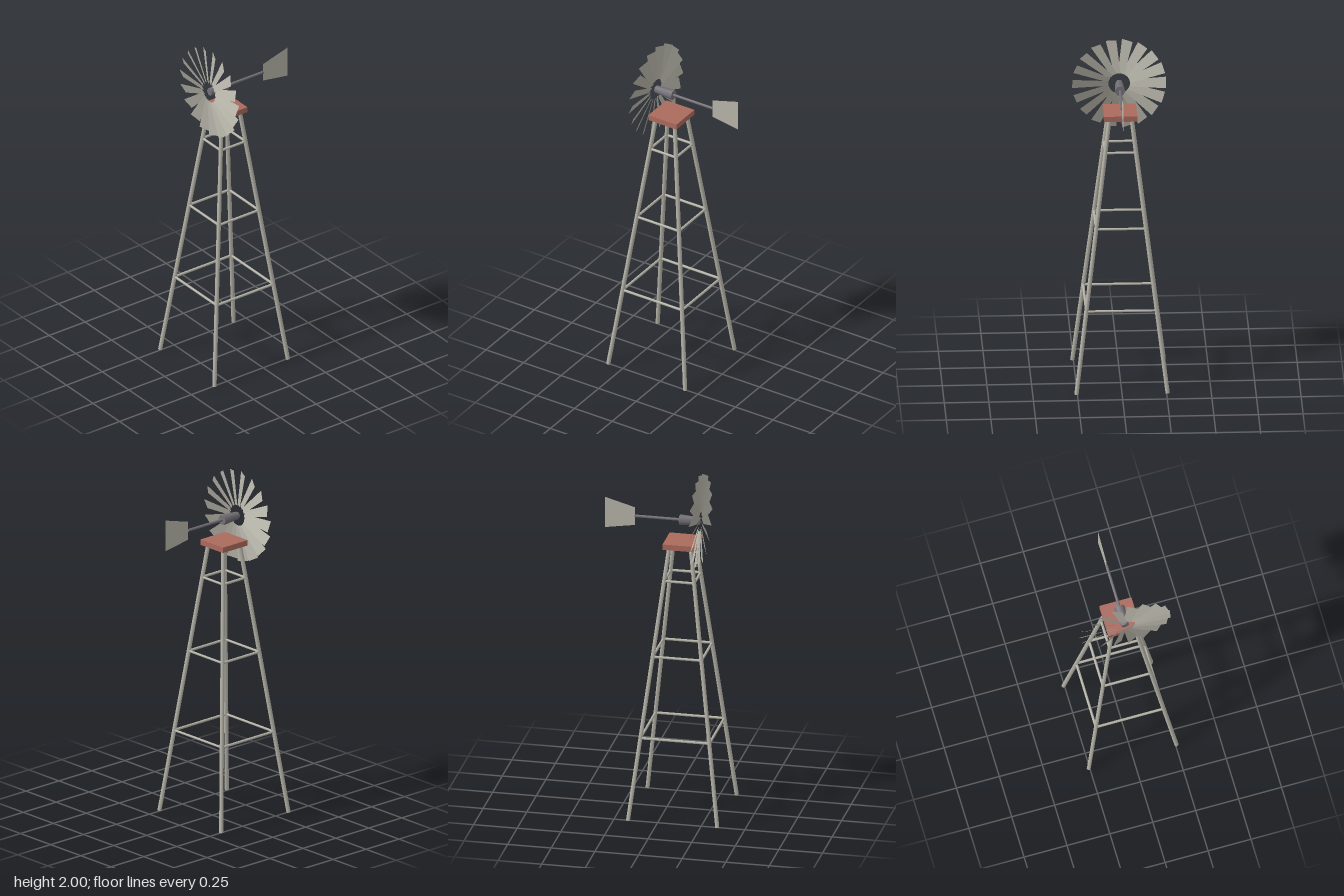
import * as THREE from 'three';

const steel = new THREE.MeshStandardMaterial({ color: 0xb8b6aa, side: THREE.DoubleSide });
steel.name = 'pale steel';
const darkMetal = new THREE.MeshStandardMaterial({ color: 0x747078 });
darkMetal.name = 'dark metal';
const redPaint = new THREE.MeshStandardMaterial({ color: 0xab6b5e });
redPaint.name = 'red paint';

const UP = new THREE.Vector3(0, 1, 0);
const TOWER_Z = 0.0875, TOP_Y = 1.59, AXLE_Y = 1.737, WHEEL_Z = 0.19;

function add(parent, name, geometry, material) {
  const mesh = new THREE.Mesh(geometry, material);
  mesh.name = name;
  parent.add(mesh);
  return mesh;
}

// Six-sided rod from a to b, optionally tapered
function rod(parent, name, a, b, ra, rb, material) {
  const dir = b.clone().sub(a);
  const geometry = new THREE.CylinderGeometry(rb, ra, dir.length(), 6);
  geometry.rotateY(Math.PI / 6);
  const mesh = add(parent, name, geometry, material);
  mesh.position.copy(a).add(b).multiplyScalar(0.5);
  mesh.quaternion.setFromUnitVectors(UP, dir.normalize());
  return mesh;
}

// Flat four-cornered plate in the xy plane
function plate(points) {
  return new THREE.ShapeGeometry(new THREE.Shape(points.map(p => new THREE.Vector2(...p))));
}

export function createModel() {
  const model = new THREE.Group();
  model.name = 'windpump';

  // Tower: four leaning legs and three rings of braces
  const tower = new THREE.Group();
  tower.name = 'tower';
  tower.position.z = TOWER_Z;
  model.add(tower);
  const spread = y => 0.256 - 0.194 * y / TOP_Y;
  const corners = [[1, 1], [1, -1], [-1, -1], [-1, 1]];
  const corner = (i, y) => {
    const [sx, sz] = corners[i % 4];
    return new THREE.Vector3(sx * spread(y), y, sz * spread(y));
  };
  for (let i = 0; i < 4; i++) {
    rod(tower, 'leg', corner(i, 0.002), corner(i, TOP_Y), 0.012, 0.012, steel);
    for (const y of [0.48, 0.953, 1.393]) {
      rod(tower, 'brace', corner(i, y), corner(i + 1, y), 0.0075, 0.0075, steel);
    }
  }

  // Platform
  const platform = add(tower, 'platform', new THREE.BoxGeometry(0.187, 0.032, 0.187), redPaint);
  platform.position.y = 1.6;

  // Wheel: pitched tapering blades
  const wheel = new THREE.Group();
  wheel.name = 'wheel';
  wheel.position.set(0, AXLE_Y, WHEEL_Z);
  model.add(wheel);
  const blade = plate([[0.06, -0.019], [0.263, -0.0325], [0.263, 0.0325], [0.06, 0.019]]);
  blade.rotateX(-0.4);
  const count = 18;
  for (let i = 0; i < count; i++) {
    add(wheel, 'blade', blade, steel).rotation.z = i * 2 * Math.PI / count;
  }

  // Hub, tail shaft and vane
  const onAxle = z => new THREE.Vector3(0, AXLE_Y, z);
  rod(model, 'hub', onAxle(0.072), onAxle(0.19), 0.03, 0.022, darkMetal);
  rod(model, 'tailShaft', onAxle(-0.186), onAxle(0.075), 0.008, 0.008, darkMetal);
  const vane = add(model, 'tailVane',
    plate([[0.185, -0.055], [0.355, -0.082], [0.355, 0.1], [0.185, 0.052]]), steel);
  vane.position.y = AXLE_Y;
  vane.rotation.y = Math.PI / 2;

  return model;
}
